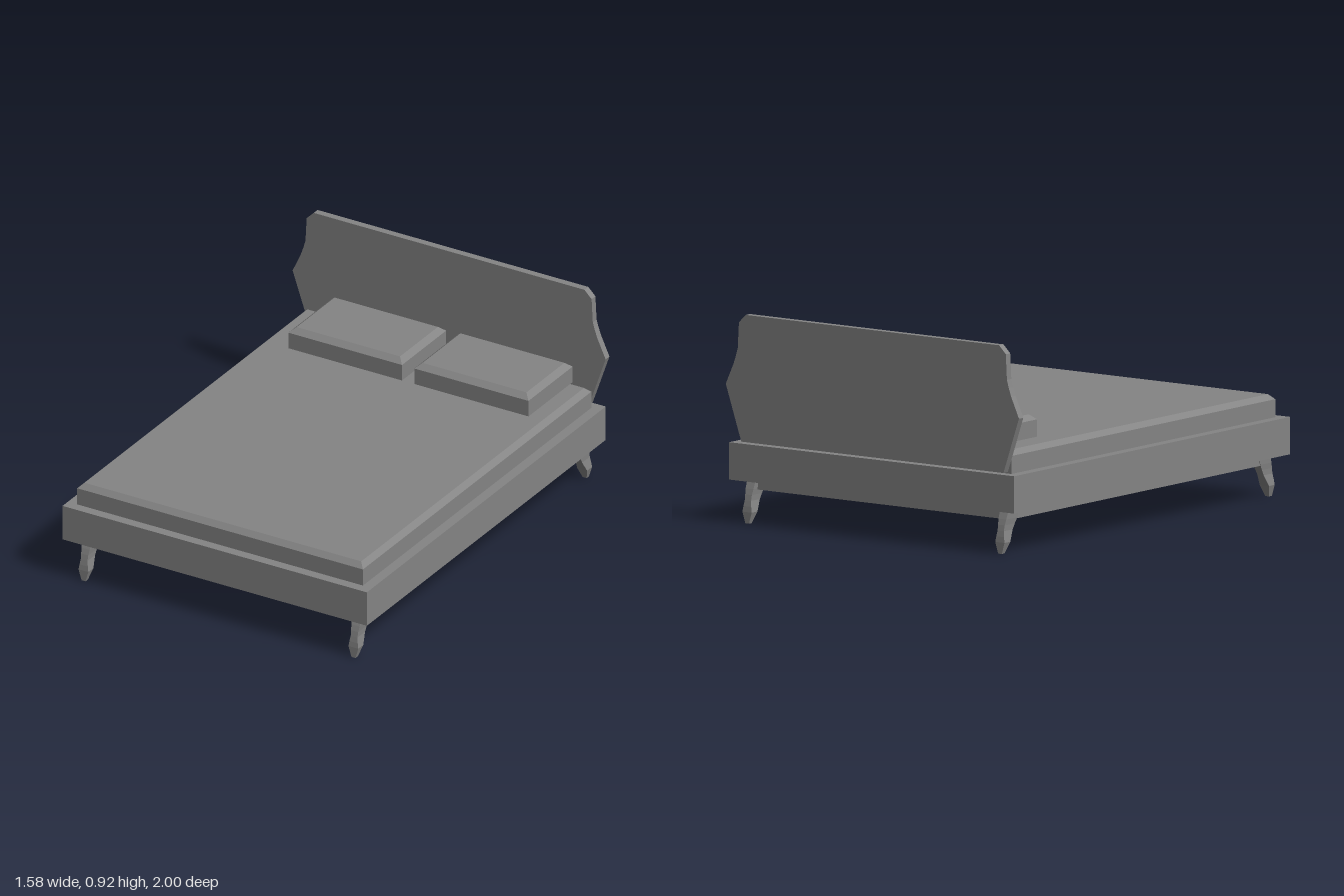
import * as THREE from 'three';

const material = new THREE.MeshStandardMaterial({ color: 0x848484, flatShading: true });

// Box from corner limits
function box(name, [x0, x1], [y0, y1], [z0, z1]) {
  const mesh = new THREE.Mesh(new THREE.BoxGeometry(x1 - x0, y1 - y0, z1 - z0), material);
  mesh.position.set((x0 + x1) / 2, (y0 + y1) / 2, (z0 + z1) / 2);
  mesh.name = name;
  return mesh;
}

// Stacked rectangular sections [y, x0, x1, z0, z1], listed from bottom to top
function loft(name, sections) {
  const pos = [], idx = [];
  for (const [y, x0, x1, z0, z1] of sections) {
    pos.push(x0, y, z1, x1, y, z1, x1, y, z0, x0, y, z0);
  }
  for (let s = 0; s < sections.length - 1; s++) {
    for (let i = 0; i < 4; i++) {
      const a = s * 4 + i, b = s * 4 + (i + 1) % 4;
      idx.push(a, b, b + 4, a, b + 4, a + 4);
    }
  }
  const t = (sections.length - 1) * 4;
  idx.push(0, 2, 1, 0, 3, 2, t, t + 1, t + 2, t, t + 2, t + 3);
  const indexed = new THREE.BufferGeometry();
  indexed.setAttribute('position', new THREE.Float32BufferAttribute(pos, 3));
  indexed.setIndex(idx);
  const geometry = indexed.toNonIndexed();
  geometry.computeVertexNormals();
  const mesh = new THREE.Mesh(geometry, material);
  mesh.name = name;
  return mesh;
}

// Block with a chamfered top edge
function cushion(name, x0, x1, y0, y1, z0, z1, bevel) {
  return loft(name, [
    [y0, x0, x1, z0, z1],
    [y1 - 0.023, x0, x1, z0, z1],
    [y1, x0 + bevel, x1 - bevel, z0 + bevel, z1 - bevel],
  ]);
}

function headboard() {
  const side = [
    [0.708, 0.36], [0.722, 0.4], [0.792, 0.606], [0.75, 0.698],
    [0.737, 0.735], [0.727, 0.77], [0.721, 0.882], [0.685, 0.918],
  ];
  const outline = [...side, ...side.map(([x, y]) => [-x, y]).reverse()];
  const shape = new THREE.Shape(outline.map(([x, y]) => new THREE.Vector2(x, y)));
  const geometry = new THREE.ExtrudeGeometry(shape, { depth: 0.032, bevelEnabled: false });
  const mesh = new THREE.Mesh(geometry, material);
  mesh.position.z = -0.995;
  mesh.name = 'headboard';
  return mesh;
}

// Curved leg: [y, half width, inner z, outer z]
const legProfile = [
  [0, 0.01, 0.958, 0.978],
  [0.05, 0.025, 0.937, 0.979],
  [0.075, 0.021, 0.923, 0.977],
  [0.1, 0.017, 0.909, 0.973],
  [0.125, 0.018, 0.895, 0.968],
  [0.15, 0.021, 0.88, 0.961],
  [0.19, 0.023, 0.87, 0.946],
];

function leg(name, sx, sz) {
  return loft(name, legProfile.map(([y, w, zi, zo]) => [
    y, sx * 0.683 - w, sx * 0.683 + w, Math.min(sz * zi, sz * zo), Math.max(sz * zi, sz * zo),
  ]));
}

export function createModel() {
  const bed = new THREE.Group();
  bed.name = 'bed';

  bed.add(box('frame', [-0.77, 0.77], [0.188, 0.352], [-1, 1]));

  // Mattress and pillows
  bed.add(cushion('mattress', -0.723, 0.723, 0.352, 0.454, -0.957, 0.955, 0.023));
  bed.add(cushion('rightPillow', -0.585, -0.01, 0.454, 0.553, -0.955, -0.585, 0.026));
  bed.add(cushion('leftPillow', 0.052, 0.63, 0.454, 0.553, -0.955, -0.585, 0.026));

  bed.add(headboard());

  // Recessed base and four legs, set slightly off centre
  const support = new THREE.Group();
  support.name = 'support';
  support.position.x = 0.006;
  support.add(box('base', [-0.702, 0.702], [0.145, 0.188], [-0.93, 0.93]));
  for (const sx of [-1, 1]) {
    for (const sz of [-1, 1]) {
      support.add(leg(`${sz > 0 ? 'front' : 'back'}${sx > 0 ? 'Left' : 'Right'}Leg`, sx, sz));
    }
  }
  bed.add(support);
  return bed;
}
